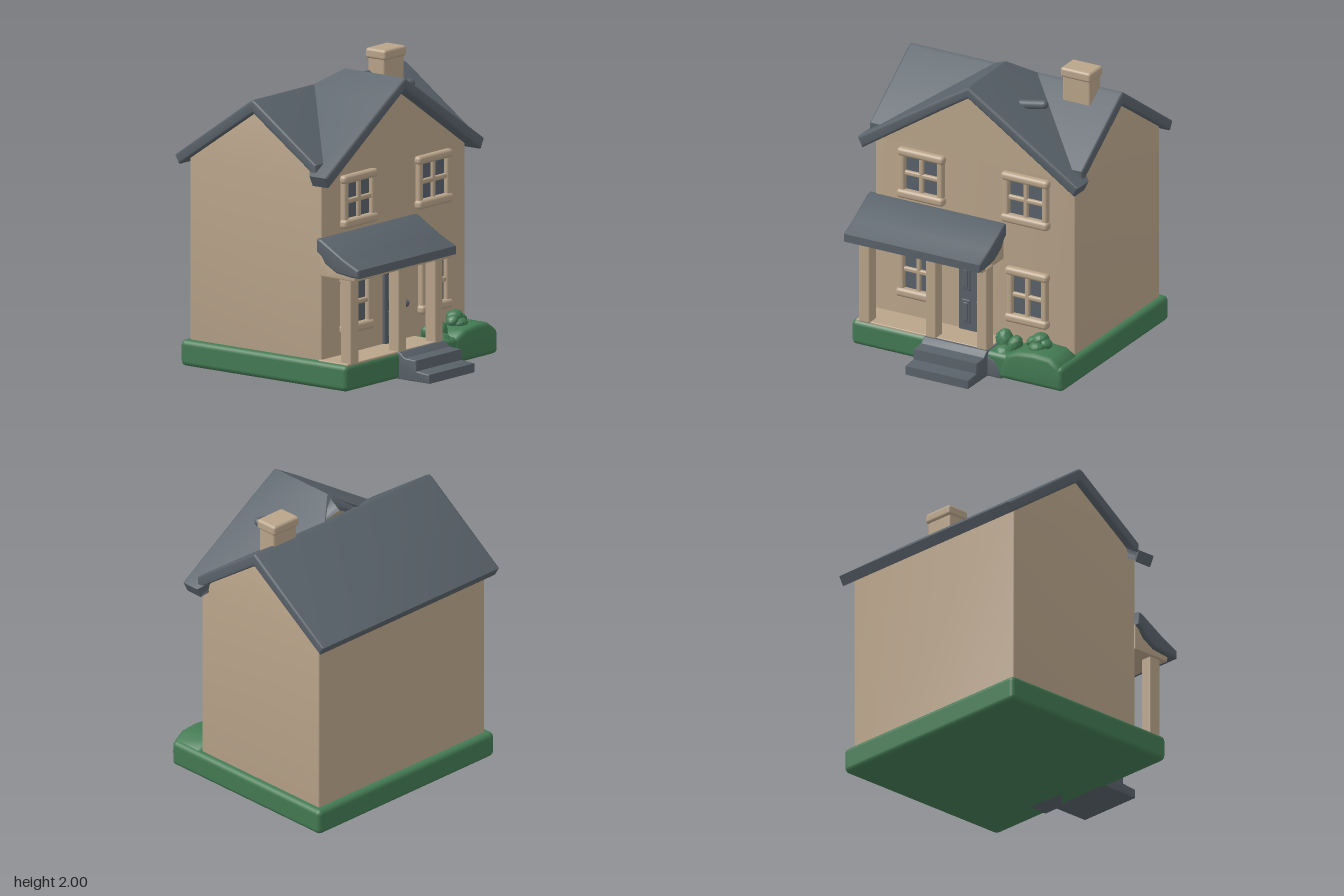
import * as THREE from 'three';
import { toCreasedNormals } from 'three/addons/utils/BufferGeometryUtils.js';
import { RoundedBoxGeometry } from 'three/addons/geometries/RoundedBoxGeometry.js';

export function createModel() {
  const house = new THREE.Group();
  house.name = 'house';
  const material = (name, color) => {
    const m = new THREE.MeshStandardMaterial({ color });
    m.name = name;
    return m;
  };
  const beige = material('beige', 0xb9a48a);
  const slate = material('slate', 0x59626a);
  const green = material('green', 0x437a53);

  const add = (name, geometry, mat, parent = house) => {
    const mesh = new THREE.Mesh(geometry, mat);
    mesh.name = name;
    parent.add(mesh);
    return mesh;
  };
  // Rounded box given by its limits on each axis
  const box = (name, mat, [x0, x1], [y0, y1], [z0, z1], r = 0.01, parent = house) => {
    const g = new RoundedBoxGeometry(x1 - x0, y1 - y0, z1 - z0, 3, r);
    g.translate((x0 + x1) / 2, (y0 + y1) / 2, (z0 + z1) / 2);
    return add(name, g, mat, parent);
  };
  // Outline extruded to an exact depth with soft edges
  const extrude = (points, depth, bevel) => new THREE.ExtrudeGeometry(
    new THREE.Shape(points.map(([x, y]) => new THREE.Vector2(x, y))),
    {
      depth: depth - 2 * bevel, bevelEnabled: bevel > 0, bevelThickness: bevel,
      bevelSize: bevel, bevelOffset: -bevel, bevelSegments: 3,
    }).translate(0, 0, bevel);
  // Side profile of [z, y] points, extruded from x0 to x1
  const sideProfile = (name, mat, points, x0, x1, bevel, parent = house) => {
    const g = extrude(points.map(([z, y]) => [-z, y]), x1 - x0, bevel);
    g.rotateY(Math.PI / 2).translate(x0, 0, 0);
    return add(name, toCreasedNormals(g, 0.6), mat, parent);
  };

  // Ground and main walls
  box('lawn', green, [-0.8, 0.8], [0, 0.175], [-0.8, 0.59], 0.035);
  sideProfile('walls', beige,
    [[-0.75, 0.1], [0.35, 0.1], [0.35, 1.4], [-0.19, 1.78], [-0.75, 1.4]], -0.755, 0.755, 0.012);

  // Main roof, front slope ends inside the front gable
  sideProfile('mainRoof', slate,
    [[-0.84, 1.405], [-0.805, 1.345], [-0.19, 1.765], [0.34, 1.4], [0.34, 1.485],
      [-0.165, 1.84], [-0.19, 1.852], [-0.215, 1.84]], -0.805, 0.805, 0.015);

  // Front gable: the back end is trimmed to run into the main roof
  const trimBack = (g, front, limit) => {
    const p = g.attributes.position;
    for (let i = 0; i < p.count; i++) {
      if (p.getZ(i) > front - 0.1) continue;
      const y = p.getY(i);
      const z = y > 1.83 ? -0.22 + (y - 1.83) * 1.4 : -0.22 + (1.85 - y) / 0.68;
      p.setZ(i, Math.min(z, limit));
    }
    g.computeVertexNormals();
    return toCreasedNormals(g, 0.6);
  };
  const gableSide = [[0.19, 1.833], [0.835, 1.415], [0.8, 1.345], [0.19, 1.748]];
  const mirror = (pts) => pts.map(([x, y]) => [-x, y]).reverse();
  const chevron = [[0, 1.95], ...gableSide, [0, 1.87], ...mirror(gableSide)];
  add('gableRoof', trimBack(extrude(chevron, 0.6, 0.018).translate(0, 0, -0.15), 0.45, 0.31), slate);
  const gable = [[-0.755, 1.385], [0.755, 1.385], [0, 1.885]];
  add('gableWall', trimBack(extrude(gable, 0.5, 0).translate(0, 0, -0.15), 0.35, 0.25), beige);

  // Chimney and roof vent
  box('chimneyShaft', beige, [0.42, 0.63], [1.66, 1.95], [-0.2, -0.06], 0.015);
  box('chimneyCap', beige, [0.41, 0.64], [1.93, 2], [-0.215, -0.045], 0.02);
  const vent = add('roofVent', new THREE.CapsuleGeometry(0.03, 0.25, 6, 14), slate);
  vent.position.set(0.29, 1.79, 0.165);
  vent.rotation.z = -Math.PI / 2 + 0.19;

  // Windows: glass plate, rails, posts and a cross of bars
  const window_ = (name, [x0, x1], [y0, y1]) => {
    const g = new THREE.Group();
    g.name = name;
    house.add(g);
    const cx = (x0 + x1) / 2, cy = (y0 + y1) / 2, gx = 0.055;
    box('glass', slate, [x0 + gx - 0.01, x1 - gx + 0.01], [y0 + 0.04, y1 - 0.04], [0.351, 0.359], 0.002, g);
    box('sill', beige, [x0, x1], [y0, y0 + 0.062], [0.34, 0.405], 0.024, g);
    box('lintel', beige, [x0, x1], [y1 - 0.058, y1], [0.34, 0.4], 0.024, g);
    for (const x of [x0 + 0.012, x1 - gx])
      box('jamb', beige, [x, x + 0.044], [y0 + 0.04, y1 - 0.04], [0.34, 0.39], 0.016, g);
    box('uprightBar', beige, [cx - 0.017, cx + 0.017], [y0 + 0.05, y1 - 0.05], [0.345, 0.38], 0.012, g);
    box('crossBar', beige, [x0 + 0.04, x1 - 0.04], [cy - 0.017, cy + 0.017], [0.345, 0.38], 0.012, g);
  };
  window_('upperRightWindow', [-0.57, -0.215], [1.025, 1.38]);
  window_('upperLeftWindow', [0.215, 0.575], [1.025, 1.38]);
  window_('lowerRightWindow', [-0.575, -0.255], [0.32, 0.71]);
  window_('lowerLeftWindow', [0.245, 0.57], [0.32, 0.71]);

  // Front door with four framed panels and a knob
  const door = new THREE.Group();
  door.name = 'frontDoor';
  house.add(door);
  box('doorLeaf', slate, [-0.115, 0.11], [0.17, 0.685], [0.34, 0.37], 0.01, door);
  for (const x of [-0.055, 0.052])
    for (const [y0, y1] of [[0.23, 0.4], [0.465, 0.635]]) {
      box('panelFrame', slate, [x - 0.032, x + 0.032], [y0, y1], [0.362, 0.378], 0.006, door);
      box('panel', slate, [x - 0.018, x + 0.018], [y0 + 0.018, y1 - 0.018], [0.37, 0.386], 0.006, door);
    }
  add('knob', new THREE.SphereGeometry(0.026, 16, 12), slate, door).position.set(0.068, 0.43, 0.395);

  // Porch
  const porch = new THREE.Group();
  porch.name = 'porch';
  house.add(porch);
  box('porchFloor', beige, [-0.77, 0.22], [0.15, 0.182], [0.33, 0.575], 0.006, porch);
  for (const [x0, x1] of [[-0.745, -0.66], [-0.24, -0.16], [0.145, 0.225]])
    box('post', beige, [x0, x1], [0.17, 0.76], [0.495, 0.585], 0.012, porch);
  sideProfile('porchBeam', beige,
    [[0.34, 0.74], [0.63, 0.74], [0.64, 0.79], [0.5, 0.8], [0.42, 0.85], [0.37, 0.92], [0.34, 0.92]],
    -0.765, 0.215, 0.005, porch);
  sideProfile('porchRoof', slate,
    [[0.34, 0.91], [0.37, 0.89], [0.41, 0.835], [0.5, 0.785], [0.63, 0.77], [0.69, 0.77],
      [0.69, 0.825], [0.56, 0.885], [0.37, 0.995], [0.34, 0.995]], -0.8, 0.235, 0.014, porch);

  // Steps and side stone
  sideProfile('steps', slate,
    [[0.45, 0], [0.84, 0], [0.84, 0.06], [0.735, 0.07], [0.73, 0.14], [0.635, 0.145],
      [0.595, 0.178], [0.45, 0.178]], -0.245, 0.235, 0.007);
  const stone = extrude([[0.2, 0], [0.335, 0], [0.325, 0.07], [0.28, 0.125], [0.2, 0.16]], 0.17, 0.015);
  add('sideStone', toCreasedNormals(stone.translate(0, 0, 0.425), 0.6), slate);

  // Hedge mound
  const hedge = extrude([[0.33, 0.01], [0.79, 0.01], [0.795, 0.1], [0.77, 0.175], [0.7, 0.222],
    [0.58, 0.23], [0.45, 0.215], [0.36, 0.17], [0.33, 0.1]], 0.25, 0.03);
  add('hedge', toCreasedNormals(hedge.translate(0, 0, 0.345), 0.8), green);

  // Shrubs: clusters of pointed leaf clumps [x, y, z, width, height, tilt]
  const clumps = [
    [0.29, 0.2, 0.45, 0.06, 0.1, 0.1], [0.35, 0.185, 0.45, 0.055, 0.09, -0.5],
    [0.25, 0.2, 0.43, 0.04, 0.06, 0.5], [0.31, 0.13, 0.5, 0.08, 0.08, 0],
    [0.54, 0.27, 0.43, 0.06, 0.045, 0.2], [0.49, 0.255, 0.45, 0.045, 0.03, 0.7],
    [0.59, 0.255, 0.44, 0.045, 0.03, -0.5], [0.54, 0.23, 0.47, 0.06, 0.04, 0],
  ];
  for (const [x, y, z, w, h, tilt] of clumps) {
    const leaf = add('shrub', toCreasedNormals(new THREE.IcosahedronGeometry(1, 1), 0.5), green);
    leaf.scale.set(w, h, w);
    leaf.rotation.z = tilt;
    leaf.position.set(x, y, z);
  }
  return house;
}
